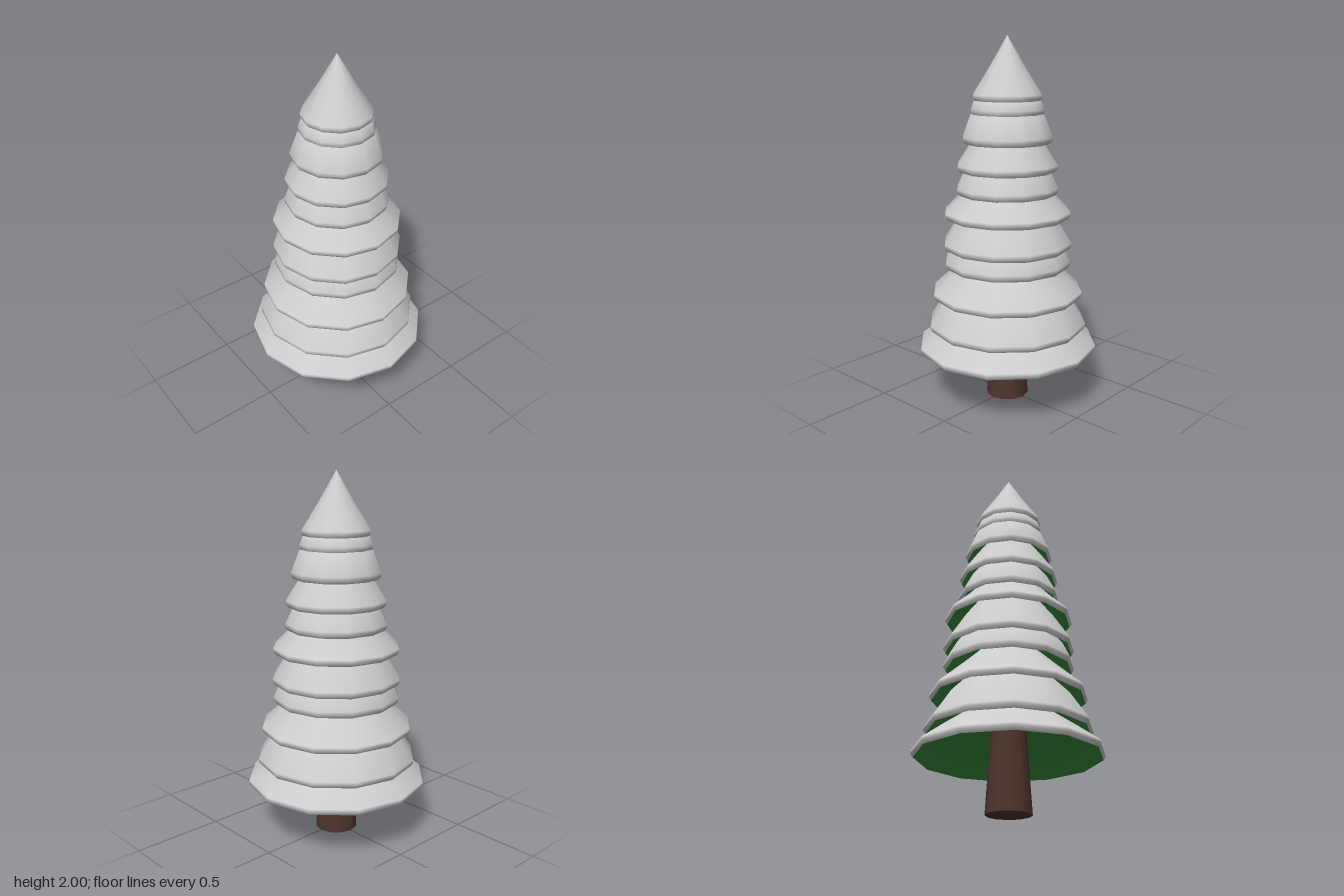
import * as THREE from 'three';

const SIDES = 12;

// A surface of revolution from [radius, height] pairs
function turned(name, pairs, material) {
  const points = pairs.map(([r, y]) => new THREE.Vector2(r, y));
  const mesh = new THREE.Mesh(new THREE.LatheGeometry(points, SIDES), material);
  mesh.name = name;
  return mesh;
}

export function createModel() {
  const tree = new THREE.Group();
  tree.name = 'snowyPineTree';
  const snow = new THREE.MeshStandardMaterial({ color: 0xcccccc });
  const needles = new THREE.MeshStandardMaterial({ color: 0x388e3c });
  const bark = new THREE.MeshStandardMaterial({ color: 0x4e342e });

  // Tapered trunk, reaching up inside the lowest tier
  const trunk = new THREE.Mesh(new THREE.CylinderGeometry(0.08, 0.12, 0.62, SIDES), bark);
  trunk.position.y = 0.31;
  trunk.name = 'trunk';
  tree.add(trunk);

  // Tiers: [bottom height, widest radius, radius where the next tier starts, tip height]
  const tiers = [
    [0.285, 0.5, 0.378, 0.68],
    [0.41, 0.443, 0.345, 0.95],
    [0.59, 0.42, 0.272, 1.02],
    [0.76, 0.352, 0.318, 1.3],
    [0.865, 0.356, 0.27, 1.4],
    [1.035, 0.35, 0.252, 1.45],
    [1.165, 0.282, 0.235, 1.6],
    [1.29, 0.277, 0.2, 1.72],
    [1.44, 0.247, 0.203, 1.78],
    [1.585, 0.2, 0.183, 1.85],
    [1.66, 0.188, 0.09, 2],
  ];
  tiers.forEach(([y, radius, upperRadius, tip], i) => {
    const upperY = i < tiers.length - 1 ? tiers[i + 1][0] : 1.847;
    const tier = new THREE.Group();
    tier.name = `tier${i + 1}`;

    // Snow cone with a soft rim that tucks in at the bottom
    tier.add(turned('snowCover', [
      [radius - 0.013, y],
      [radius, y + 0.018],
      [radius - 0.002, y + 0.036],
      [upperRadius, upperY],
      [0, tip],
    ], snow));

    // Hollow green underside, facing inwards
    tier.add(turned('needleUnderside', [
      [0, tip - 0.03],
      [upperRadius - 0.012, upperY - 0.01],
      [radius - 0.013, y],
    ], needles));
    tree.add(tier);
  });
  return tree;
}
